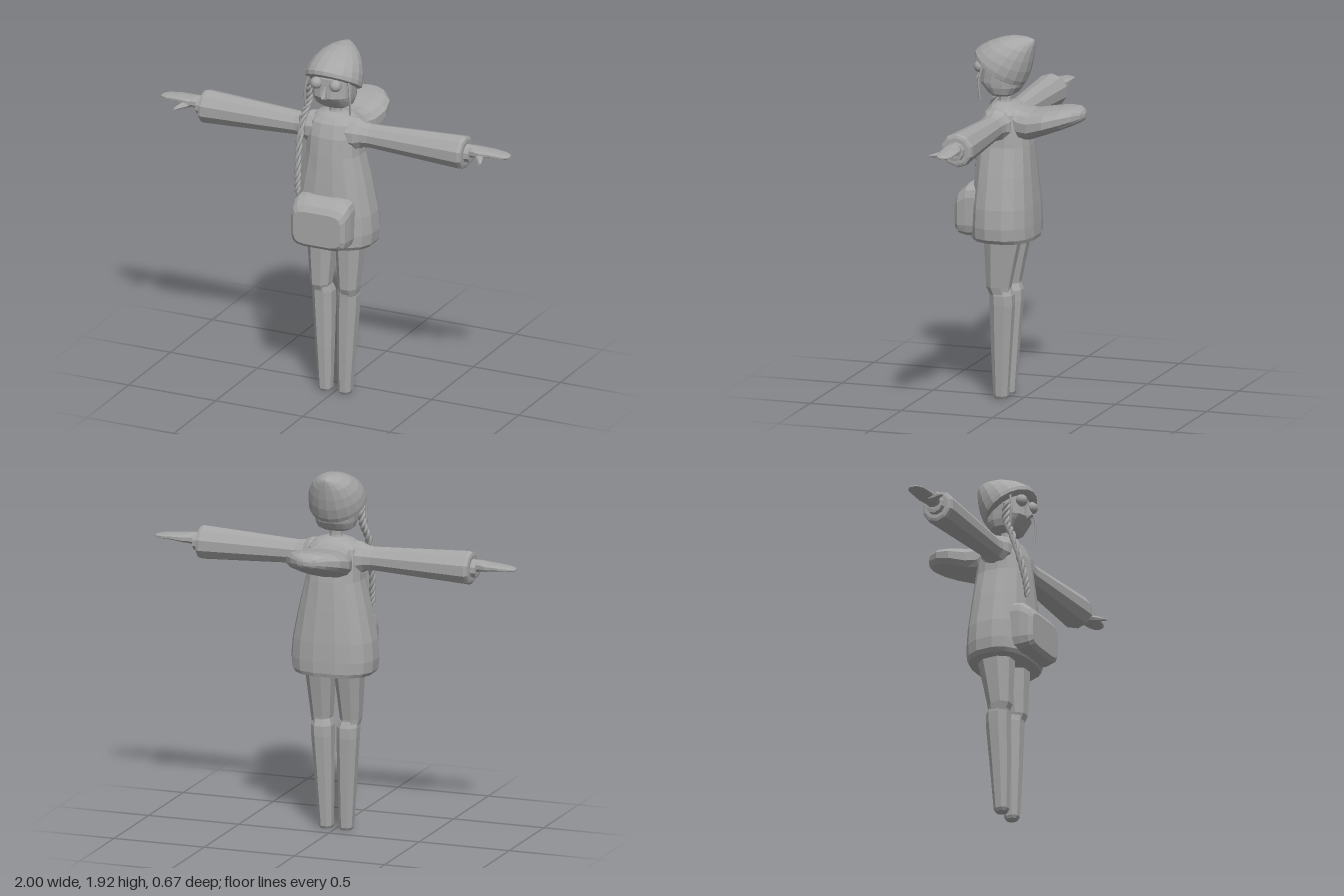
import * as THREE from 'three';

const V = (x, y, z) => new THREE.Vector3(x, y, z);
const mid = (a, b) => (a + b) / 2;

// Superelliptic ring of n corners; place(u, v) puts the unit outline in space.
function ring(n, power, place) {
  const bend = c => Math.sign(c) * Math.abs(c) ** (2 / power);
  return Array.from({ length: n }, (_, i) => {
    const a = (i + 0.5) / n * Math.PI * 2;
    return place(bend(Math.cos(a)), bend(Math.sin(a)));
  });
}

// Closed, faceted skin over a list of rings, always wound outwards.
function loft(rings) {
  const n = rings[0].length, last = (rings.length - 1) * n;
  const pts = rings.flat();
  const centre = r => r.reduce((s, p) => s.add(p), V(0, 0, 0)).divideScalar(n);
  const c0 = pts.push(centre(rings[0])) - 1;
  const c1 = pts.push(centre(rings[rings.length - 1])) - 1;
  const tris = [];
  for (let i = 0; i < n; i++) {
    const j = (i + 1) % n;
    for (let r = 0; r < last; r += n) {
      tris.push([r + i, r + j, r + n + j], [r + i, r + n + j, r + n + i]);
    }
    tris.push([c0, j, i], [c1, last + i, last + j]);
  }
  const o = pts[c0];
  let volume = 0;
  for (const t of tris) {
    const [a, b, c] = t.map(k => pts[k].clone().sub(o));
    volume += a.dot(b.cross(c));
  }
  if (volume < 0) tris.forEach(t => t.reverse());
  const geo = new THREE.BufferGeometry().setFromPoints(pts);
  geo.setIndex(tris.flat());
  const flat = geo.toNonIndexed();
  flat.computeVertexNormals();
  return flat;
}

// Rows of [y, half width, front z, back z], stacked upwards.
const stack = (n, power, rows, x = 0) => loft(rows.map(([y, w, f, b]) =>
  ring(n, power, (u, v) => V(x + u * w, y, mid(f, b) + v * (f - b) / 2))));

export function createModel() {
  const model = new THREE.Group();
  const grey = new THREE.MeshStandardMaterial({ color: 0xa6a6a6 });
  grey.name = 'grey';
  const add = (name, geo) => {
    const mesh = new THREE.Mesh(geo, grey);
    mesh.name = name;
    model.add(mesh);
    return mesh;
  };

  // Flared coat
  add('coat', stack(16, 2.5, [
    [0.85, 0.208, 0.255, -0.07], [0.87, 0.224, 0.265, -0.076], [0.93, 0.23, 0.265, -0.076],
    [1.03, 0.222, 0.262, -0.072], [1.2, 0.188, 0.25, -0.058], [1.35, 0.152, 0.238, -0.045],
    [1.45, 0.148, 0.225, -0.03], [1.52, 0.14, 0.2, -0.01], [1.555, 0.1, 0.17, 0.03],
    [1.57, 0.05, 0.14, 0.07]]));

  // Front pouch, rows of [z, half width, top, bottom]
  add('pouch', loft([
    [0.2, 0.165, 1.15, 0.86], [0.27, 0.164, 1.14, 0.86],
    [0.315, 0.156, 1.1, 0.87], [0.335, 0.135, 1.07, 0.89]].map(([z, w, t, b]) =>
    ring(16, 5, (u, v) => V(u * w, mid(t, b) + v * (t - b) / 2, z)))));

  // Lowered hood, rows of [z, half width, top, bottom]
  add('hood', loft([
    [0.06, 0.11, 1.562, 1.46], [0, 0.13, 1.545, 1.38], [-0.06, 0.152, 1.538, 1.385],
    [-0.15, 0.171, 1.552, 1.42], [-0.23, 0.152, 1.565, 1.45], [-0.29, 0.105, 1.567, 1.475],
    [-0.325, 0.055, 1.553, 1.495], [-0.337, 0.015, 1.535, 1.51]].map(([z, w, t, b]) =>
    ring(14, 2.5, (u, v) => V(u * w, mid(t, b) + v * (t - b) / 2, z)))));

  // Neck and head
  add('neck', stack(8, 2, [[1.54, 0.045, 0.15, 0.06], [1.58, 0.034, 0.138, 0.07], [1.64, 0.034, 0.138, 0.07]]));
  add('head', stack(16, 2.5, [
    [1.605, 0.07, 0.165, 0.06], [1.62, 0.097, 0.185, 0.035], [1.655, 0.108, 0.214, 0.01],
    [1.678, 0.11, 0.232, 0.002], [1.72, 0.112, 0.228, -0.005], [1.78, 0.112, 0.225, -0.01],
    [1.83, 0.09, 0.2, 0]]));
  add('nose', stack(4, 2, [[1.67, 0.012, 0.24, 0.2], [1.684, 0.015, 0.272, 0.2], [1.74, 0.005, 0.236, 0.2]]));

  // Hat: rows of [half width, front z, front y, back z, back y]
  add('hat', loft([
    [0.138, 0.245, 1.803, 0.015, 1.662], [0.151, 0.262, 1.818, 0.002, 1.662],
    [0.152, 0.258, 1.838, -0.012, 1.682], [0.145, 0.232, 1.858, -0.032, 1.735],
    [0.128, 0.19, 1.882, -0.045, 1.79], [0.1, 0.13, 1.905, -0.053, 1.84],
    [0.065, 0.07, 1.918, -0.057, 1.872], [0.032, 0.005, 1.918, -0.058, 1.89],
    [0.006, -0.04, 1.91, -0.056, 1.902]].map(([w, fz, fy, bz, by]) =>
    ring(18, 2, (u, v) => V(u * w, mid(fy, by) + v * (fy - by) / 2, mid(fz, bz) + v * (fz - bz) / 2)))));

  for (const [side, s] of [['left', 1], ['right', -1]]) {
    // Eye
    add(side + 'Eye', new THREE.SphereGeometry(0.032, 14, 10)).position.set(s * 0.055, 1.755, 0.224);

    // Leg: thigh meeting a slightly wider boot at the knee
    add(side + 'Thigh', stack(8, 2.2, [
      [0.55, 0.046, 0.155, 0.05], [0.6, 0.056, 0.178, 0.045], [0.72, 0.066, 0.183, 0.02],
      [0.85, 0.076, 0.19, -0.01], [0.95, 0.078, 0.195, -0.03]], s * 0.08));
    add(side + 'Boot', loft([
      [0, 0.055, 0.03, 0.107, 0.032], [0.015, 0.056, 0.038, 0.107, 0.041],
      [0.25, 0.062, 0.049, 0.103, 0.054], [0.5, 0.07, 0.059, 0.096, 0.066],
      [0.555, 0.071, 0.06, 0.097, 0.066], [0.59, 0.073, 0.05, 0.105, 0.06]].map(([y, x, w, z, d]) =>
      ring(8, 2.2, (u, v) => V(s * x + u * w, y, z + v * d)))));

    // Sleeve with cuff, rows of [x, radius]
    add(side + 'Sleeve', loft([
      [0.09, 0.09], [0.135, 0.086], [0.165, 0.07], [0.21, 0.064], [0.45, 0.076], [0.735, 0.09],
      [0.752, 0.084], [0.757, 0.07], [0.757, 0.05], [0.783, 0.048], [0.786, 0.032]].map(([x, r]) =>
      ring(10, 2, (u, v) => V(s * x, 1.463 + v * r, 0.11 + u * r)))));

    // Flat mitten hand, rows of [x, y, half height, z, half depth], and thumb
    add(side + 'Hand', loft([
      [0.77, 1.475, 0.036, 0.11, 0.036], [0.8, 1.48, 0.03, 0.11, 0.042], [0.84, 1.48, 0.024, 0.107, 0.053],
      [0.9, 1.483, 0.017, 0.102, 0.05], [0.96, 1.481, 0.012, 0.102, 0.045],
      [0.99, 1.479, 0.009, 0.102, 0.03], [1, 1.478, 0.004, 0.102, 0.012]].map(([x, y, h, z, d]) =>
      ring(10, 2.3, (u, v) => V(s * x, y + v * h, z + u * d)))));
    add(side + 'Thumb', loft([
      [0.835, 0.12, 0.034], [0.85, 0.16, 0.023], [0.868, 0.19, 0.014], [0.876, 0.213, 0.008]].map(([x, z, r]) =>
      ring(7, 2, (u, v) => V(s * (x + u * r), 1.468 - (z - 0.12) * 0.12 + v * r * 0.7, z)))));

    // Loose lock of hair beside the face
    const lock = new THREE.CatmullRomCurve3([
      V(s * 0.115, 1.77, 0.19), V(s * 0.128, 1.7, 0.205), V(s * 0.13, 1.65, 0.203), V(s * 0.126, 1.595, 0.198)]);
    add(side + 'HairLock', new THREE.TubeGeometry(lock, 10, 0.006, 5));
  }

  // Braid: three strands winding around one path
  const path = new THREE.CatmullRomCurve3([
    V(-0.112, 1.73, 0.17), V(-0.122, 1.63, 0.17), V(-0.138, 1.54, 0.21),
    V(-0.138, 1.38, 0.262), V(-0.13, 1.25, 0.29), V(-0.125, 1.16, 0.3)]);
  for (let k = 0; k < 3; k++) {
    const strand = Array.from({ length: 61 }, (_, i) => {
      const t = i / 60, a = t * Math.PI * 9 + k * Math.PI * 2 / 3, r = 0.014 * (1 - 0.4 * t);
      return path.getPoint(t).add(V(Math.cos(a) * r, 0, Math.sin(a) * r));
    });
    add('braidStrand', new THREE.TubeGeometry(new THREE.CatmullRomCurve3(strand), 90, 0.009, 6));
  }

  return model;
}
